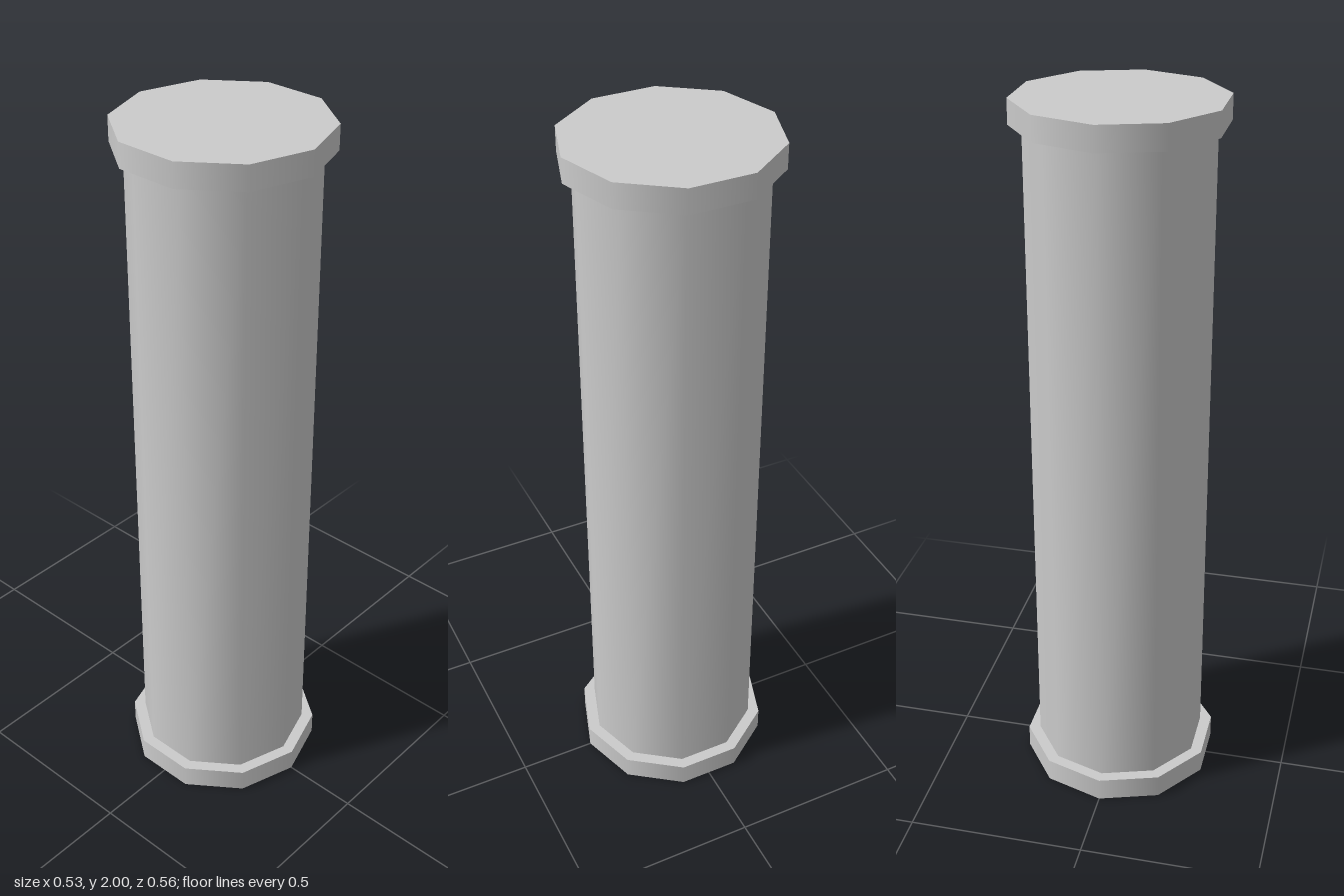
import * as THREE from 'three';

const SIDES = 10;
const HEIGHT = 2;
const CAP_HEIGHT = 0.067;
const CAP_RADIUS = 0.281;
const SHAFT_RADIUS = 0.247;

export function createModel() {
  const group = new THREE.Group();
  group.name = 'column';
  const material = new THREE.MeshStandardMaterial({ color: 0xcccccc });

  // Ten-sided prism with smooth sides, placed by its lower end
  function addPrism(name, radius, height, bottom, open = false) {
    const geometry = new THREE.CylinderGeometry(radius, radius, height, SIDES, 1, open);
    const mesh = new THREE.Mesh(geometry, material);
    mesh.name = name;
    mesh.position.y = bottom + height / 2;
    group.add(mesh);
  }

  // Wider plates at both ends
  addPrism('baseCap', CAP_RADIUS, CAP_HEIGHT, 0);
  addPrism('topCap', CAP_RADIUS, CAP_HEIGHT, HEIGHT - CAP_HEIGHT);

  // Shaft between the plates, its ends hidden by them
  addPrism('shaft', SHAFT_RADIUS, HEIGHT - 2 * CAP_HEIGHT, CAP_HEIGHT, true);

  return group;
}
